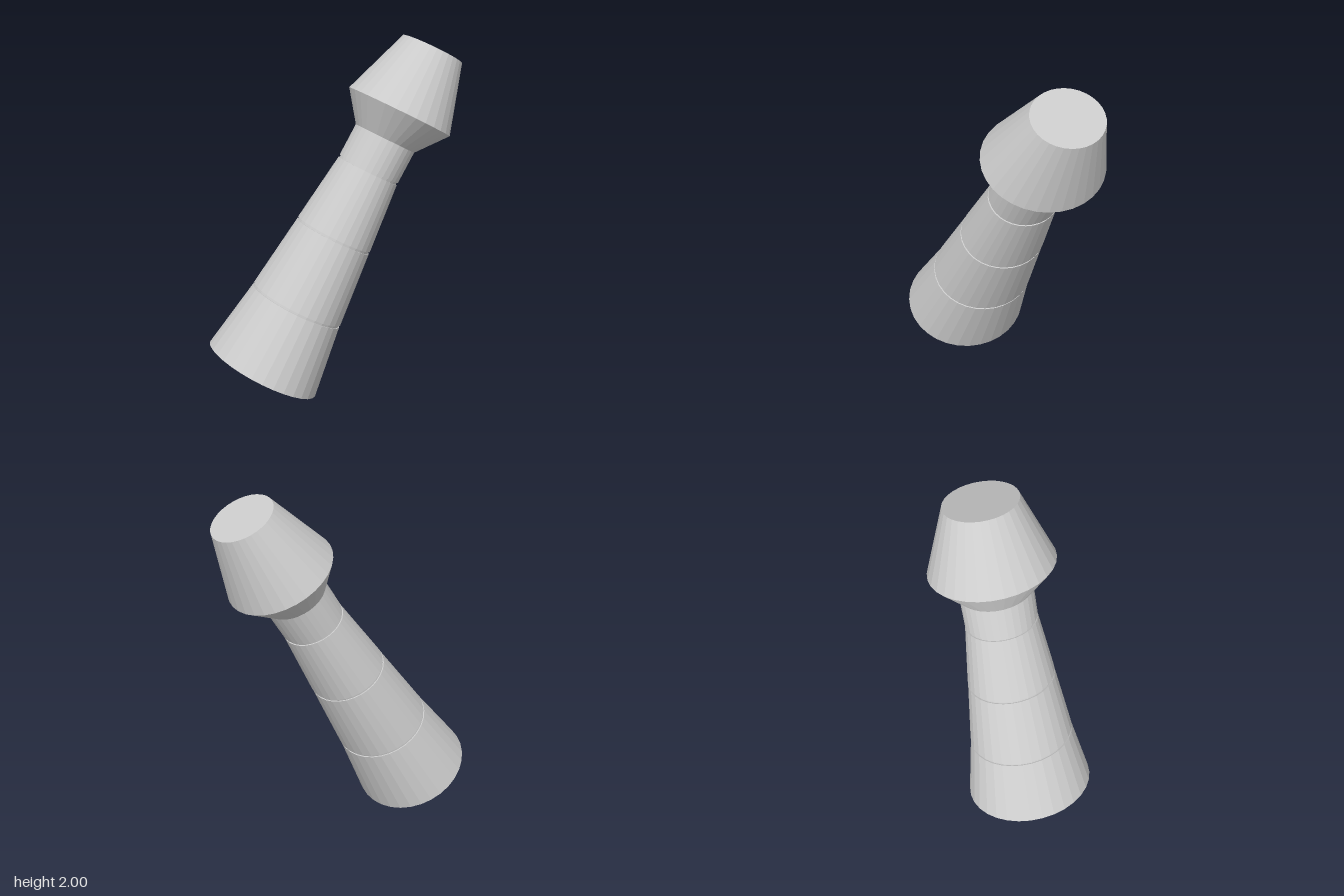
import * as THREE from 'three';

const SIDES = 32;
const material = new THREE.MeshStandardMaterial({ color: 0xcccccc, flatShading: true });

// Leaning, slightly squashed frame: tilted rings stacked along a slanted axis
const lean = new THREE.Matrix4().makeBasis(
  new THREE.Vector3(0.77, -0.41, 0),
  new THREE.Vector3(0.58, 1, 0),
  new THREE.Vector3(0, 0, 1)
).setPosition(-0.538, 0, 0);

// Frustum between two heights on the axis
function frustum(name, y0, r0, y1, r1) {
  const geometry = new THREE.CylinderGeometry(r1, r0, y1 - y0, SIDES);
  geometry.translate(0, (y0 + y1) / 2, 0);
  geometry.applyMatrix4(lean);
  const mesh = new THREE.Mesh(geometry, material);
  mesh.name = name;
  return mesh;
}

export function createModel() {
  const group = new THREE.Group();
  group.name = 'leaningTower';

  // Tapered shaft: heights and radii of its section joints
  const joints = [[0.155, 0.375], [0.515, 0.305], [0.9, 0.252], [1.26, 0.203], [1.432, 0.203]];
  const names = ['base', 'lowerShaft', 'upperShaft', 'neck'];
  const gap = 0.006;
  names.forEach((name, i) => {
    const [y0, r0] = joints[i];
    const [y1, r1] = joints[i + 1];
    const start = i > 0 ? y0 + gap : y0;
    const end = i < names.length - 1 ? y1 - gap : y1;
    group.add(frustum(name, start, r0, end, r1));
    // Recessed groove between sections
    if (i > 0) group.add(frustum('groove' + i, y0 - gap, r0 - 0.007, y0 + gap, r0 - 0.007));
  });

  // Head: flaring collar under a tapered cap
  group.add(frustum('headCollar', 1.432, 0.203, 1.578, 0.348));
  group.add(frustum('headCap', 1.578, 0.348, 1.918, 0.203));

  return group;
}
